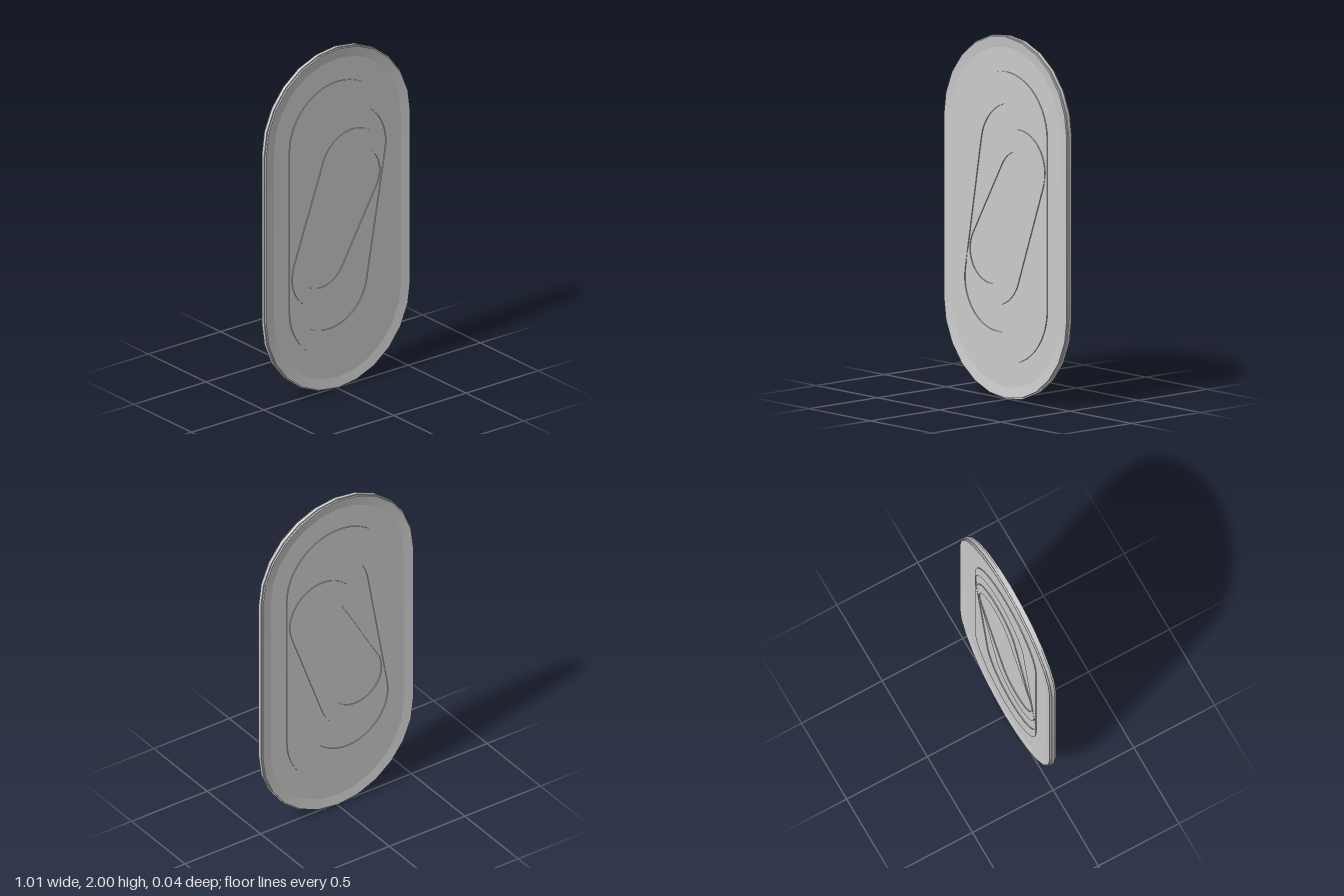
import * as THREE from 'three';
import { toCreasedNormals } from 'three/addons/utils/BufferGeometryUtils.js';

const material = new THREE.MeshStandardMaterial({ color: 0xcccccc });

// Counter-clockwise capsule outline: end radius r, half straight length h, leaning right by tilt
function capsule(r, h, tilt = 0, segments = 12) {
  const points = [];
  for (const end of [1, -1]) {
    for (let i = 0; i <= segments; i++) {
      const a = Math.PI * i / segments;
      points.push(new THREE.Vector2(end * r * Math.cos(a), end * (h + r * Math.sin(a)))
        .rotateAround(new THREE.Vector2(), -tilt));
    }
  }
  return points;
}

// Slab from -z to +z with an optional capsule opening
function slab(name, outline, z, opening) {
  const shape = new THREE.Shape(outline);
  if (opening) shape.holes.push(new THREE.Path(opening));
  const geometry = new THREE.ExtrudeGeometry(shape, { depth: 2 * z, bevelEnabled: false });
  geometry.translate(0, 0, -z);
  const mesh = new THREE.Mesh(toCreasedNormals(geometry, 0.6), material);
  mesh.name = name;
  return mesh;
}

// Skin through capsule sections [radius, z], ordered front to back
function loft(name, sections, h) {
  const positions = [], index = [];
  const count = capsule(1, h).length;
  sections.forEach(([r, z], k) => {
    capsule(r, h).forEach((p, i) => {
      positions.push(p.x, p.y, z);
      if (k === sections.length - 1) return;
      const a = k * count + i, a1 = k * count + (i + 1) % count;
      const b = a + count, b1 = a1 + count;
      index.push(a, b, b1, a, b1, a1);
    });
  });
  const geometry = new THREE.BufferGeometry();
  geometry.setAttribute('position', new THREE.Float32BufferAttribute(positions, 3));
  geometry.setIndex(index);
  const mesh = new THREE.Mesh(toCreasedNormals(geometry, 0.5), material);
  mesh.name = name;
  return mesh;
}

export function createModel() {
  const model = new THREE.Group();
  model.name = 'capsulePlate';
  const straight = 0.495, floor = 0.012, raised = 0.017;

  // Plate core with a dished rim and a thin band around the edge
  model.add(slab('plateCore', capsule(0.44, straight), floor));
  model.add(loft('rim', [
    [0.44, floor], [0.498, 0.02], [0.498, 0.01], [0.505, 0.01],
    [0.505, -0.01], [0.498, -0.01], [0.498, -0.02], [0.44, -floor],
  ], straight));

  // Nested capsules, each 0.8 the size of the last and turned 10 degrees further
  const nested = [0, 1, 2, 3].map((i) => {
    const s = 0.8 ** i;
    return capsule(0.335 * s, 0.466 * s, THREE.MathUtils.degToRad(10 * i), 24);
  });

  // Raised frames alternate with recessed floors, on both faces
  model.add(slab('outerFrame', nested[0], raised, nested[1]));
  model.add(slab('innerFrame', nested[2], raised, nested[3]));

  model.position.y = 1;
  const root = new THREE.Group();
  root.add(model);
  return root;
}
